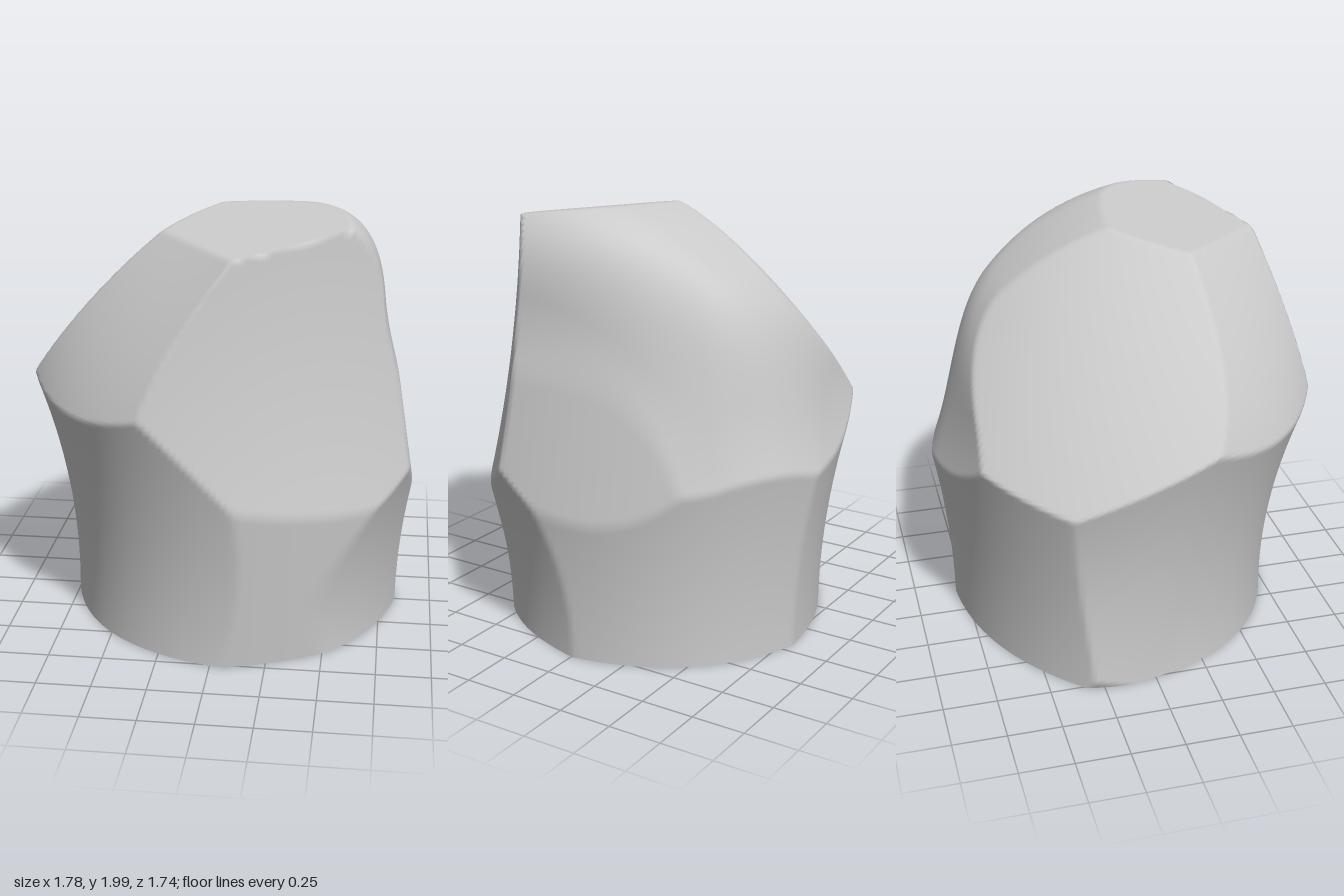
import * as THREE from 'three';

// Wall facet: faces horizontal direction (nx, nz); its distance from the axis is
// reach(y), falling off by bow(y) * u^2 to the sides. Negative values are inside.
function wall(nx, nz, bow, reach) {
  const l = Math.hypot(nx, nz);
  const bowAt = typeof bow === 'function' ? bow : () => bow;
  return (x, y, z) => {
    const s = (nx * x + nz * z) / l, u = (nz * x - nx * z) / l;
    return s - reach(y) + bowAt(y) * u * u;
  };
}

// Upper facet: a height field y = h(x, z), scaled to near true distance.
function cap(slope, h) {
  return (x, y, z) => (y - h(x, z)) / Math.hypot(1, slope);
}

function smoothMax(a, b, r) {
  const h = Math.max(r - Math.abs(a - b), 0) / r;
  return Math.max(a, b) + h * h * r * 0.25;
}

const blend = (r, facets) => (x, y, z) =>
  facets.map((f) => f(x, y, z)).reduce((a, b) => smoothMax(a, b, r));

const sq = (v) => v * v;

// Soft rounded shoulder at the back right
const shoulder = blend(0.24, [
  cap(0.35, (x, z) =>
    1.99 + 0.3 * z - 0.49 * z * z - 0.12 * sq(x - 0.2) - 0.9 * sq(Math.max(x - 0.35, 0))),
  wall(1, -0.04, 0.1, (y) => 0.745 + 0.2 * (1.5 - y) + 0.4 * sq(1.5 - y)),
  wall(0.82, -0.57, 0.25, (y) => 0.76 + 0.04 * (1.57 - y) + 0.17 * sq(1.57 - y)),
  wall(-0.1, -1, 0.1, (y) => 0.735 + 0.04 * (1.5 - y) + 0.26 * sq(1.5 - y)),
]);

// Waisted wall wrapping the front left
const leftWall = blend(0.05, [
  wall(-1, 1, 0.6, (y) => 0.71 + 0.17 * sq(y - 0.1)),
  wall(-1, 0, 0.2, (y) => 0.8 + 0.21 * sq(y - 0.35)),
]);

const rock = blend(0.01, [
  shoulder,
  leftWall,
  // large front right panel
  wall(0.46, 0.89, 0.25, (y) => 0.66 + 0.06 * (1.9 - y) + 0.075 * sq(1.9 - y)),
  // top facet
  cap(0.15, (x, z) => 1.965 + 0.09 * x - 0.15 * z),
  // front left slope, flatter towards its top
  wall(-0.72, 0.69, (y) => 0.45 * (1.9 - y),
    (y) => 0.87 - 0.69 * (y - 1.19) + 0.38 * (y - 1.19) * (1.91 - y)),
  // back left slope
  cap(1.12, (x, z) => 2.1 + x + 0.5 * z - 0.42 * (sq(x + 0.45) + sq(z + 0.1))),
  // round chip on the right
  (x, y, z) => x - (0.98 - 0.16 * y + 0.15 * z - 0.2 * z * z),
  // lower walls: back left, back right, front right, front wedge
  wall(-0.43, -0.9, 0.4, (y) => 0.745 + 0.13 * y * y),
  wall(0.75, -0.66, 0.6, (y) => 0.805 + 0.11 * y * y),
  wall(0.647, 0.761, 0.6, (y) => 0.775 + 0.24 * y * y),
  wall(0.38, 0.925, 0.3, (y) => 0.752 + 0.105 * y),
]);

// Surface point along a ray from (0, y0, 0)
function hit(y0, dx, dy, dz) {
  let lo = 0, hi = 1.6;
  for (let i = 0; i < 22; i++) {
    const t = (lo + hi) / 2;
    if (rock(dx * t, y0 + dy * t, dz * t) < 0) lo = t; else hi = t;
  }
  return [dx * lo, y0 + dy * lo, dz * lo];
}

function normalAt([x, y, z]) {
  const e = 0.004;
  return new THREE.Vector3(
    rock(x + e, y, z) - rock(x - e, y, z),
    rock(x, y + e, z) - rock(x, y - e, z),
    rock(x, y, z + e) - rock(x, y, z - e)
  ).normalize().toArray();
}

function rockGeometry() {
  const around = 220, lowRows = 50, domeRows = 85, middle = 0.9;
  const positions = [], normals = [], index = [];
  const rows = lowRows + domeRows;
  // rings: level slices up to the middle, then a dome of rays to the pole
  for (let r = 0; r <= rows; r++) {
    const low = r <= lowRows;
    const y0 = low ? (middle * r) / lowRows : middle;
    const tilt = low ? 0 : ((r - lowRows) / domeRows) * (Math.PI / 2);
    for (let i = 0; i < around; i++) {
      const a = (i / around) * Math.PI * 2;
      const p = hit(y0, Math.cos(tilt) * Math.sin(a), Math.sin(tilt), Math.cos(tilt) * Math.cos(a));
      positions.push(...p);
      normals.push(...normalAt(p));
    }
  }
  for (let r = 0; r < rows; r++) {
    for (let i = 0; i < around; i++) {
      const j = (i + 1) % around;
      const a = r * around + i, b = r * around + j;
      const c = a + around, d = b + around;
      index.push(a, b, d);
      if (r < rows - 1) index.push(a, d, c);
    }
  }
  const g = new THREE.BufferGeometry();
  g.setAttribute('position', new THREE.Float32BufferAttribute(positions, 3));
  g.setAttribute('normal', new THREE.Float32BufferAttribute(normals, 3));
  g.setIndex(index);
  return g;
}

export function createModel() {
  const group = new THREE.Group();
  group.name = 'boulder';
  // open underneath, so both sides show
  const material = new THREE.MeshStandardMaterial({ color: 0xcccccc, side: THREE.DoubleSide });
  const mesh = new THREE.Mesh(rockGeometry(), material);
  mesh.name = 'rock';
  group.add(mesh);
  return group;
}
